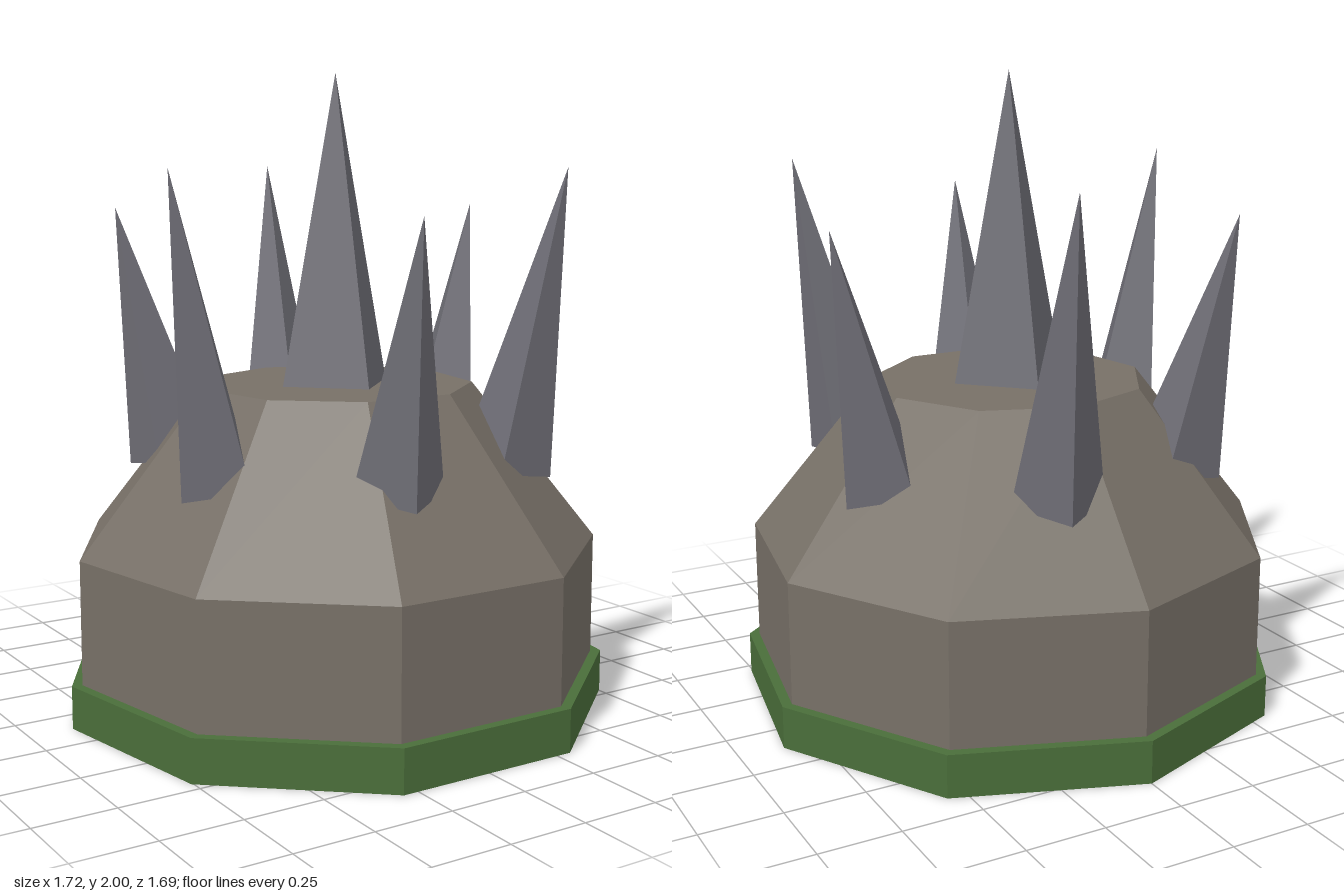
import * as THREE from 'three';

const SIDES = 9;
const CENTRE_Z = 0.023;

const material = (color) => new THREE.MeshStandardMaterial({ color, flatShading: true });

export function createModel() {
  const model = new THREE.Group();
  model.name = 'spikedRock';

  const moss = material(0x4a6e3a);
  const stone = material(0x777067);
  const spikeStone = material(0x6f6e76);

  // Everything shares one axis; the nine-sided layers have a flat side to the front
  const body = new THREE.Group();
  body.name = 'body';
  body.position.z = CENTRE_Z;
  model.add(body);

  const layer = (name, rBottom, rTop, y0, y1, mat) => {
    const mesh = new THREE.Mesh(new THREE.CylinderGeometry(rTop, rBottom, y1 - y0, SIDES), mat);
    mesh.name = name;
    mesh.position.y = (y0 + y1) / 2;
    mesh.rotation.y = Math.PI;
    body.add(mesh);
  };
  layer('mossBase', 0.873, 0.873, 0, 0.135, moss);
  layer('rockWall', 0.84, 0.84, 0.135, 0.525, stone);
  layer('rockDome', 0.84, 0.437, 0.525, 1.03, stone);

  // Four-sided spike from a base centre to a tip, both given as [radius, height]
  const spike = (name, radius, base, tip, angle) => {
    const dr = tip[0] - base[0];
    const dy = tip[1] - base[1];
    const height = Math.hypot(dr, dy);
    const geometry = new THREE.ConeGeometry(radius, height, 4).translate(0, height / 2, 0);
    const mesh = new THREE.Mesh(geometry, spikeStone);
    mesh.name = name;
    mesh.position.set(base[0], base[1], 0);
    mesh.rotation.z = -Math.atan2(dr, dy);
    const arm = new THREE.Group();
    arm.name = name + 'Arm';
    arm.rotation.y = -angle;
    arm.add(mesh);
    body.add(arm);
  };

  spike('centreSpike', 0.22, [0, 0.9], [0, 2], 0);

  // Ring of six spikes leaning outward, alternately tall and short
  for (let i = 0; i < 6; i++) {
    const tipHeight = i % 2 ? 1.58 : 1.71;
    spike('outerSpike' + (i + 1), 0.145, [0.543, 0.775], [0.722, tipHeight], 0.75 + (i * Math.PI) / 3);
  }

  return model;
}
